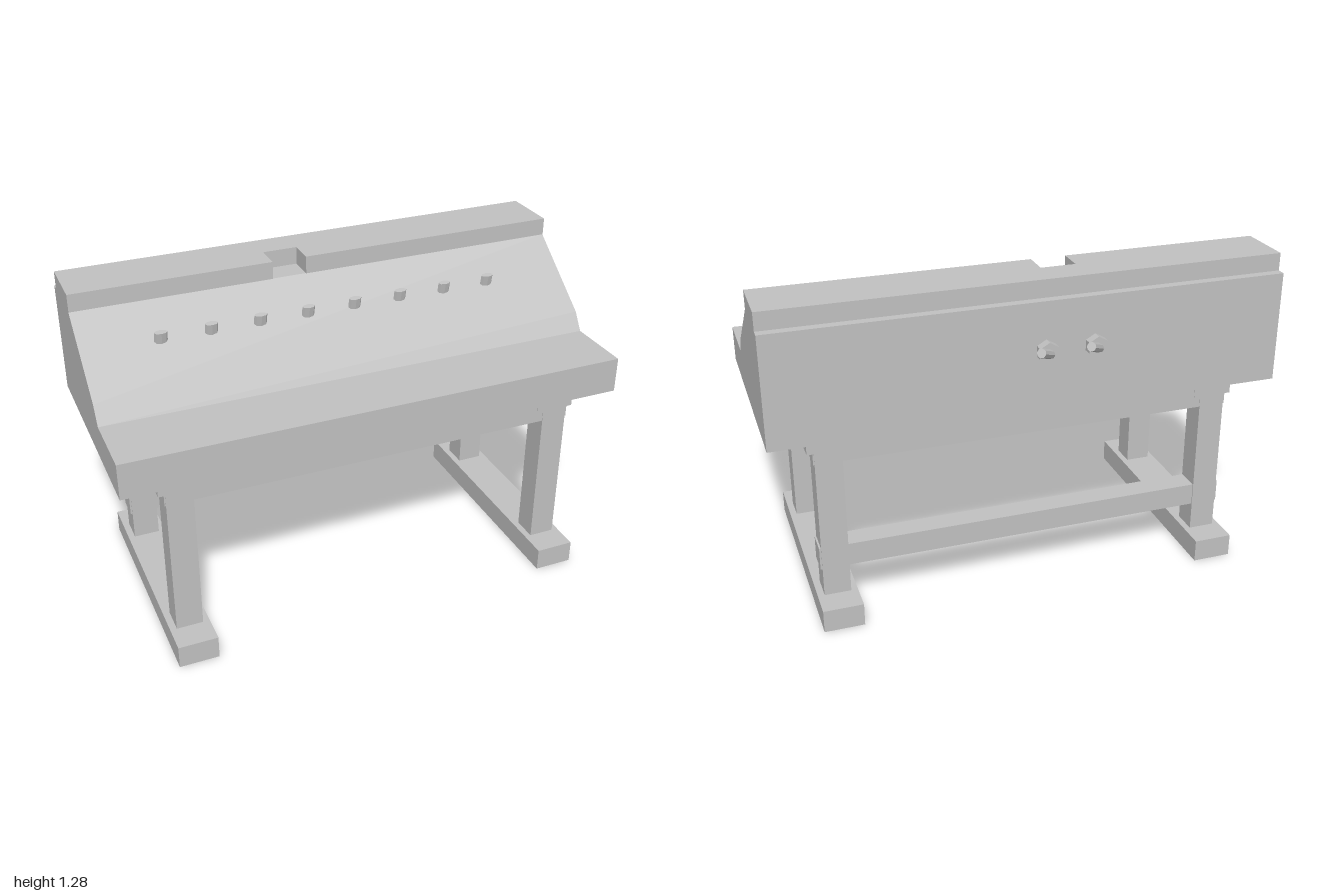
import * as THREE from 'three';

export function createModel() {
  const group = new THREE.Group();
  const grey = new THREE.MeshStandardMaterial({ color: 0xc0c0c0, flatShading: true });
  grey.name = 'light grey';

  function add(name, geometry) {
    const mesh = new THREE.Mesh(geometry, grey);
    mesh.name = name;
    group.add(mesh);
    return mesh;
  }
  // Box given by its limits on each axis
  function box(name, x0, x1, y0, y1, z0, z1) {
    const mesh = add(name, new THREE.BoxGeometry(x1 - x0, y1 - y0, z1 - z0));
    mesh.position.set((x0 + x1) / 2, (y0 + y1) / 2, (z0 + z1) / 2);
  }
  // Faceted rod between two points
  function rod(name, from, to, radius, sides) {
    const a = new THREE.Vector3(...from), b = new THREE.Vector3(...to);
    const dir = b.clone().sub(a);
    const mesh = add(name, new THREE.CylinderGeometry(radius, radius, dir.length(), sides));
    mesh.position.copy(a).add(b).multiplyScalar(0.5);
    mesh.quaternion.setFromUnitVectors(new THREE.Vector3(0, 1, 0), dir.normalize());
    return mesh;
  }

  // Console body: side profile (z, y) extruded across the width
  const profile = [[0.475, 0.77], [0.475, 0.912], [0.205, 0.912], [0.16, 0.98],
    [-0.14, 1.21], [-0.405, 1.21], [-0.405, 0.77]];
  const shape = new THREE.Shape(profile.map(([z, y]) => new THREE.Vector2(-z, y)));
  const body = new THREE.ExtrudeGeometry(shape, { depth: 2, bevelEnabled: false });
  body.translate(0, 0, -1).rotateY(Math.PI / 2);
  add('consoleBody', body);

  // Top ledge with a rectangular notch open to the front
  const ledge = new THREE.Shape([[-1, 0.37], [1, 0.37], [1, 0.137], [-0.07, 0.137],
    [-0.07, 0.243], [-0.208, 0.243], [-0.208, 0.137], [-1, 0.137]]
    .map(([x, y]) => new THREE.Vector2(x, y)));
  const ledgeGeometry = new THREE.ExtrudeGeometry(ledge, { depth: 0.07, bevelEnabled: false });
  ledgeGeometry.rotateX(-Math.PI / 2).translate(0, 1.21, 0);
  add('topLedge', ledgeGeometry);

  // Trestle stand: feet, legs and leg caps on both sides
  for (const side of [-1, 1]) {
    const c = side * 0.775;
    box('foot', c - 0.078, c + 0.078, 0, 0.092, -0.442, 0.515);
    for (const [z0, z1] of [[0.305, 0.406], [-0.335, -0.234]]) {
      box('leg', c - 0.052, c + 0.052, 0.092, 0.77, z0, z1);
      box('legCap', c - 0.078, c + 0.078, 0.7, 0.77, z0, z1);
    }
  }
  // Cross rails
  box('frontUpperRail', -0.832, 0.832, 0.655, 0.745, 0.307, 0.404);
  box('backUpperRail', -0.832, 0.832, 0.655, 0.745, -0.333, -0.236);
  box('backLowerRail', -0.834, 0.834, 0.207, 0.298, -0.331, -0.238);

  // Row of pegs on the sloping panel
  for (let i = 0; i < 8; i++) {
    const x = -0.7 + i * 0.194;
    const peg = rod('panelPeg', [x, 1.08, -0.004], [x, 1.14, 0.008], 0.026, 8);
    peg.scale.z = 0.5;
  }

  // Two slanted cranks with hexagonal hubs on the back
  for (const x of [-0.228, -0.036]) {
    rod('crankHub', [x, 1.02, -0.4], [x, 1.02, -0.44], 0.042, 6);
    rod('crankHandle', [x - 0.012, 1.01, -0.425], [x + 0.055, 1.053, -0.502], 0.018, 8);
  }
  return group;
}
